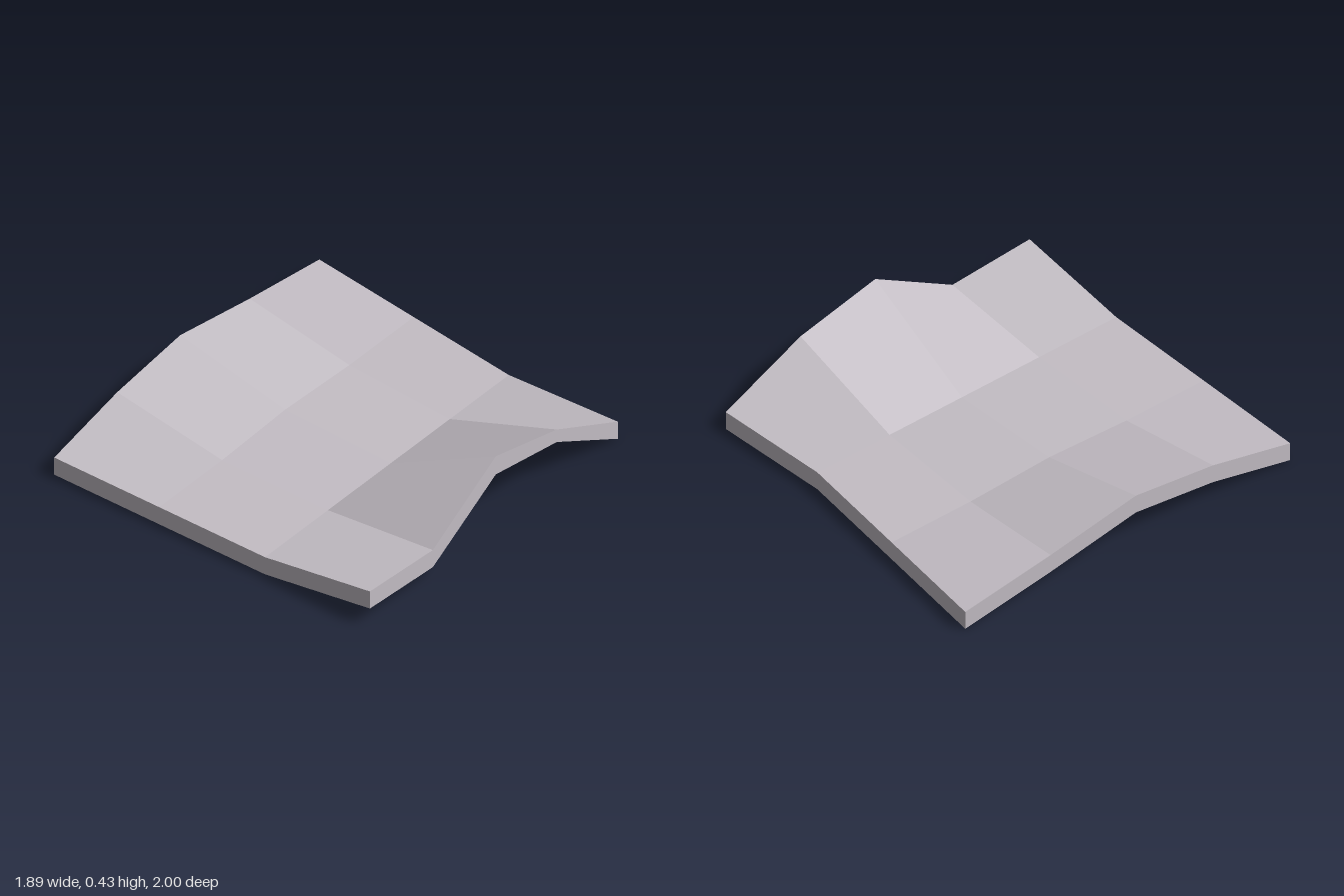
import * as THREE from 'three';

// Grid of the warped slab: columns run along x, rows from front to back
const columnX = [-0.95, -0.32, 0.315, 0.945];
const backZ = [-1, -0.92, -0.84, -0.87];
const topY = [
  [0.10, 0.207, 0.265, 0.175, 0.10],
  [0.10, 0.10, 0.12, 0.10, 0.10],
  [0.10, 0.10, 0.10, 0.10, 0.10],
  [0.19, 0.157, 0.43, 0.32, 0.10],
];
const ROWS = 5;

function rowZ(i, j) {
  return [1, 0.525, 0.05, (0.05 + backZ[i]) / 2, backZ[i]][j];
}

function top(i, j) {
  return new THREE.Vector3(columnX[i], topY[i][j], rowZ(i, j));
}

function bottom(i, j) {
  const thickness = i === 3 && j === 3 ? 0.073 : i === 3 && j === 2 ? 0.106 : 0.1;
  const p = top(i, j);
  p.y = Math.max(0, p.y - thickness);
  return p;
}

// Each four-sided panel gets one flat normal
function panelGeometry(quads) {
  const positions = [];
  const normals = [];
  for (const [a, b, c, d] of quads) {
    const n = c.clone().sub(a).cross(d.clone().sub(b)).normalize();
    for (const p of [a, b, c, a, c, d]) {
      positions.push(p.x, p.y, p.z);
      normals.push(n.x, n.y, n.z);
    }
  }
  const geometry = new THREE.BufferGeometry();
  geometry.setAttribute('position', new THREE.Float32BufferAttribute(positions, 3));
  geometry.setAttribute('normal', new THREE.Float32BufferAttribute(normals, 3));
  return geometry;
}

export function createModel() {
  const group = new THREE.Group();
  group.name = 'warpedSlab';
  const stone = new THREE.MeshStandardMaterial({ color: 0xc4bec5 });
  stone.name = 'paleStone';

  // Upper and lower surfaces
  const upper = [];
  const lower = [];
  for (let i = 0; i < columnX.length - 1; i++) {
    for (let j = 0; j < ROWS - 1; j++) {
      upper.push([top(i, j), top(i + 1, j), top(i + 1, j + 1), top(i, j + 1)]);
      lower.push([bottom(i, j), bottom(i, j + 1), bottom(i + 1, j + 1), bottom(i + 1, j)]);
    }
  }

  // Rim, walked anticlockwise seen from above
  const rimPath = [];
  for (let i = 0; i < 3; i++) rimPath.push([i, 0]);
  for (let j = 0; j < 4; j++) rimPath.push([3, j]);
  for (let i = 3; i > 0; i--) rimPath.push([i, 4]);
  for (let j = 4; j > 0; j--) rimPath.push([0, j]);
  const rim = rimPath.map((p, k) => {
    const q = rimPath[(k + 1) % rimPath.length];
    return [bottom(...p), bottom(...q), top(...q), top(...p)];
  });

  for (const [name, quads] of Object.entries({ topSurface: upper, underside: lower, rim })) {
    const mesh = new THREE.Mesh(panelGeometry(quads), stone);
    mesh.name = name;
    group.add(mesh);
  }
  return group;
}
